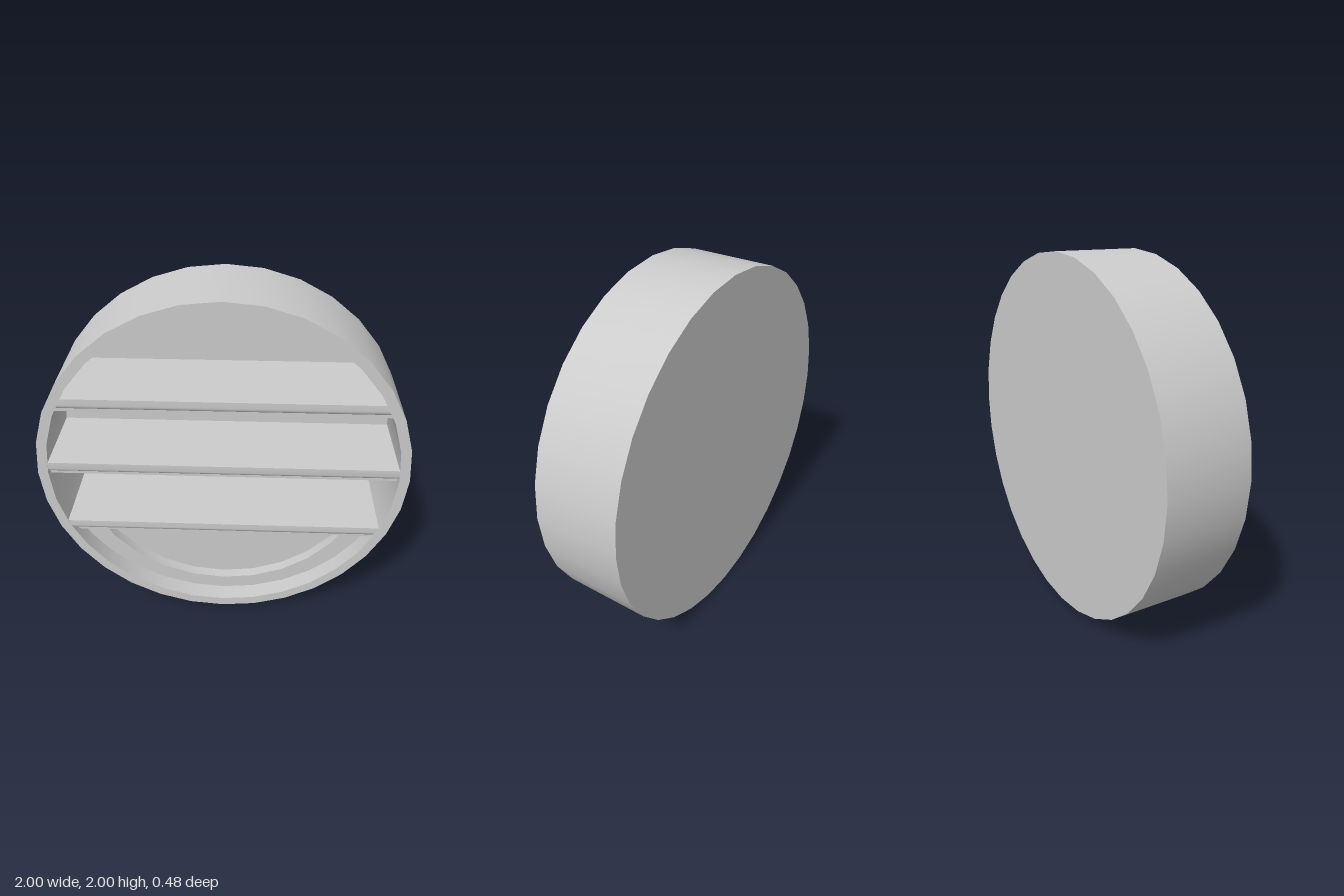
import * as THREE from 'three';
import { toCreasedNormals } from 'three/addons/utils/BufferGeometryUtils.js';

const SIDES = 32;
const STEP = (2 * Math.PI) / SIDES;
const BACK = -0.21; // inner face of the back board
const INNER = 0.945; // inner radius of the rim

const grey = new THREE.MeshStandardMaterial({ color: 0xcccccc });

function part(name, geometry) {
  const mesh = new THREE.Mesh(toCreasedNormals(geometry, 0.6), grey);
  mesh.name = name;
  return mesh;
}

// Arc points measured from straight down, running left to right
function lowerArc(radius, centreY, halfAngle, segments) {
  return Array.from({ length: segments + 1 }, (_, i) => {
    const a = -halfAngle + (2 * halfAngle * i) / segments;
    return new THREE.Vector2(radius * Math.sin(a), centreY - radius * Math.cos(a));
  });
}

function extrude(points, z0, z1) {
  const g = new THREE.ExtrudeGeometry(new THREE.Shape(points), { depth: z1 - z0, bevelEnabled: false });
  return g.translate(0, 0, z0);
}

// Round drum: outer wall, front rim, inner wall and back board in one turned profile
function makeCase() {
  const profile = [[0, -0.24], [1, -0.24], [1, 0.24], [INNER, 0.24], [INNER, BACK], [0, BACK]]
    .map(([r, z]) => new THREE.Vector2(r, z));
  return part('roundCase', new THREE.LatheGeometry(profile, SIDES).rotateX(Math.PI / 2));
}

// Shelf board with a rounded front nosing, clipped to the rim
function makeShelf(top, name) {
  const thick = 0.095;
  const s = new THREE.Shape();
  s.moveTo(BACK - 0.01, 0);
  s.lineTo(BACK - 0.01, -thick);
  s.lineTo(0.2, -thick);
  s.lineTo(0.2, -0.068);
  s.lineTo(0.205, -0.068);
  s.quadraticCurveTo(0.232, -0.066, 0.232, -0.035);
  s.lineTo(0.239, -0.035);
  s.lineTo(0.239, 0);
  s.closePath();
  const nearest = top > 0 && top < thick ? 0 : Math.min(Math.abs(top), Math.abs(top - thick));
  const half = Math.sqrt(INNER * INNER - nearest * nearest) + 0.005;
  const g = new THREE.ExtrudeGeometry(s, { depth: 2 * half, bevelEnabled: false, curveSegments: 6 });
  g.translate(0, 0, -half).rotateY(-Math.PI / 2).translate(0, top, 0);
  return part(name, g);
}

export function createModel() {
  const model = new THREE.Group();
  model.name = 'roundShelfUnit';
  const body = new THREE.Group();
  body.name = 'body';
  body.position.y = 1;
  model.add(body);

  body.add(makeCase());
  body.add(makeShelf(0.465, 'topShelf'), makeShelf(0.065, 'middleShelf'), makeShelf(-0.34, 'bottomShelf'));

  // Closed compartment under the bottom shelf: recessed panel with a raised curved frame
  const outer = lowerArc(0.957, 0, 6 * STEP, 12);
  const inner = lowerArc(0.814, -0.047, THREE.MathUtils.degToRad(65), 10);
  body.add(part('lowerPanel', extrude(outer, BACK - 0.01, 0.08)));
  body.add(part('lowerPanelFrame', extrude([...outer, ...inner.reverse()], 0.08, 0.14)));

  return model;
}
